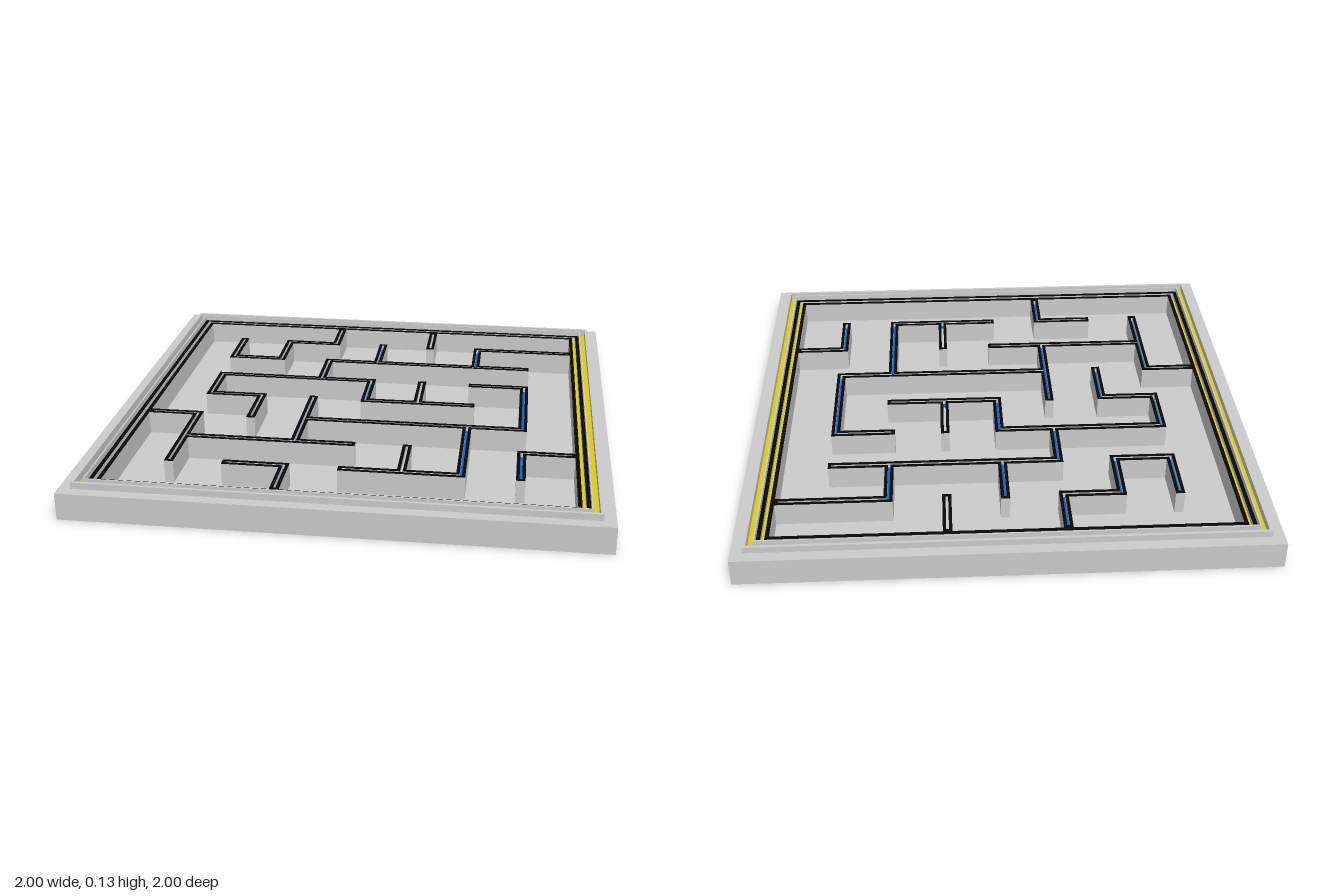
import * as THREE from 'three';
import { mergeGeometries } from 'three/addons/utils/BufferGeometryUtils.js';

const GREY = 0xcccccc, BLACK = 0x080808, YELLOW = 0xe0cc10, BLUE = 0x0a62d8;
const FLOOR = 0.015, TOP = 0.108, GROOVE = 0.085, CAP = 0.002;
const HALF = 0.0175, SLOT = 0.005, STEP = 0.2217, INNER = 0.869;

// Box given by its limits on each axis
function block(x0, x1, y0, y1, z0, z1) {
  return new THREE.BoxGeometry(x1 - x0, y1 - y0, z1 - z0)
    .translate((x0 + x1) / 2, (y0 + y1) / 2, (z0 + z1) / 2);
}

// Square ring given by its half widths and heights
function ring(outer, inner, y0, y1) {
  const square = (s, P) => new P([[-s, -s], [s, -s], [s, s], [-s, s]].map(p => new THREE.Vector2(...p)));
  const shape = square(outer, THREE.Shape);
  shape.holes.push(square(inner, THREE.Path));
  return new THREE.ExtrudeGeometry(shape, { depth: y1 - y0, bevelEnabled: false })
    .rotateX(-Math.PI / 2).translate(0, y0, 0);
}

function part(name, color, geometries) {
  const mesh = new THREE.Mesh(mergeGeometries(geometries), new THREE.MeshStandardMaterial({ color }));
  mesh.name = name;
  return mesh;
}

// Maze wall runs on a grid of -4..4, as x, z corners
const litRuns = [
  [[-3, -3], [-3, -2], [-2, -2], [-2, -3], [-1, -3], [-1, -4]],
  [[0, -3], [0, -2]],
  [[4, -3], [2, -3], [2, -2]],
  [[3, -2], [-1, -2], [-1, -1]],
  [[-2, 1], [-2, 0], [-3, 0], [-3, -1], [0, -1], [0, 0], [2, 0]],
  [[2, -1], [3, -1], [3, 1]],
  [[-1, 0], [-1, 2]],
  [[-3, 1], [-3, 3]],
  [[-3, 2], [0, 2]],
  [[2, 1], [2, 3], [0, 3]],
  [[-2, 3], [-1, 3], [-1, 4]],
  [[4, 2], [3, 2], [3, 3]],
];
const plainRuns = [
  [[1, -4], [1, -3]], [[1, -1], [1, 0]], [[3, 1], [-1, 1]],
  [[-4, 1], [-3, 1]], [[1, 2], [1, 3]],
];

// Outermost grid lines stop against the inside of the frame
const at = i => Math.abs(i) === 4 ? Math.sign(i) * (INNER - HALF) : i * STEP;

function buildMaze() {
  const bodies = [], caps = [], strips = [], nodes = new Map();
  const body = (x0, x1, z0, z1) => bodies.push(block(x0, x1, FLOOR, GROOVE, z0, z1));
  const strip = (x0, x1, z0, z1) => strips.push(block(x0, x1, GROOVE, GROOVE + CAP, z0, z1));
  const rail = (x0, x1, z0, z1) => {
    bodies.push(block(x0, x1, GROOVE, TOP - CAP, z0, z1));
    caps.push(block(x0, x1, TOP - CAP, TOP, z0, z1));
  };
  const node = (x, z) => {
    const key = x + ',' + z;
    if (!nodes.has(key)) nodes.set(key, { x, z, links: new Set(), lit: false });
    return nodes.get(key);
  };

  // One grid step of wall: body, two rails and the slot between them
  const unit = (x, z, dx, dz, lit) => {
    const a = node(x, z), b = node(x + dx, z + dz);
    a.links.add(dx + ',' + dz);
    b.links.add(-dx + ',' + -dz);
    if (lit) a.lit = b.lit = true;
    const from = dx ? at(x) : at(z), to = dx ? at(x + dx) : at(z + dz);
    const lo = Math.min(from, to) + HALF, hi = Math.max(from, to) - HALF, c = dx ? at(z) : at(x);
    const along = (fn, s0, s1) => dx ? fn(lo, hi, c + s0, c + s1) : fn(c + s0, c + s1, lo, hi);
    along(body, -HALF, HALF);
    along(rail, -HALF, -SLOT);
    along(rail, SLOT, HALF);
    if (lit) along(strip, -SLOT, SLOT);
  };
  for (const [runs, lit] of [[litRuns, true], [plainRuns, false]])
    for (const run of runs)
      for (let i = 1; i < run.length; i++) {
        let [x, z] = run[i - 1];
        const [ex, ez] = run[i], dx = Math.sign(ex - x), dz = Math.sign(ez - z);
        for (; x !== ex || z !== ez; x += dx, z += dz) unit(x, z, dx, dz, lit);
      }

  // Posts at grid points: closed by rails wherever no wall leads on
  const edge = [-HALF, -SLOT, SLOT, HALF];
  for (const { x, z, links, lit } of nodes.values()) {
    const cx = at(x), cz = at(z);
    body(cx - HALF, cx + HALF, cz - HALF, cz + HALF);
    for (let i = -1; i <= 1; i++)
      for (let j = -1; j <= 1; j++) {
        const cell = [cx + edge[i + 1], cx + edge[i + 2], cz + edge[j + 1], cz + edge[j + 2]];
        const open = (i === 0 && j === 0) || links.has(i + ',' + j);
        if (!open) rail(...cell);
        else if (lit) strip(...cell);
      }
  }

  const maze = new THREE.Group();
  maze.name = 'maze';
  maze.add(part('mazeWalls', GREY, bodies), part('mazeWallTops', BLACK, caps), part('mazeLightStrips', BLUE, strips));
  return maze;
}

export function createModel() {
  const model = new THREE.Group();
  model.name = 'mazeBoard';

  // Tray: floor, outer frame and raised lip with its channel
  model.add(part('floor', GREY, [block(-1, 1, 0, FLOOR, -1, 1)]));
  model.add(part('frame', GREY, [
    ring(1, 0.955, FLOOR, 0.105),
    ring(0.955, INNER, FLOOR, GROOVE),
    ring(0.955, 0.943, GROOVE, 0.13),
    ring(0.92, 0.914, GROOVE, 0.13),
    ring(0.914, 0.899, GROOVE, TOP - CAP),
    ring(0.884, INNER, GROOVE, TOP - CAP),
  ]));

  // Inner border wall tops and the yellow strips in the channels
  model.add(part('borderTops', BLACK, [
    ring(0.914, 0.899, TOP - CAP, TOP), ring(0.884, INNER, TOP - CAP, TOP),
  ]));
  model.add(part('borderLightStrips', YELLOW, [
    ring(0.943, 0.92, GROOVE, 0.1), ring(0.899, 0.884, GROOVE, GROOVE + CAP),
  ]));

  model.add(buildMaze());
  return model;
}
